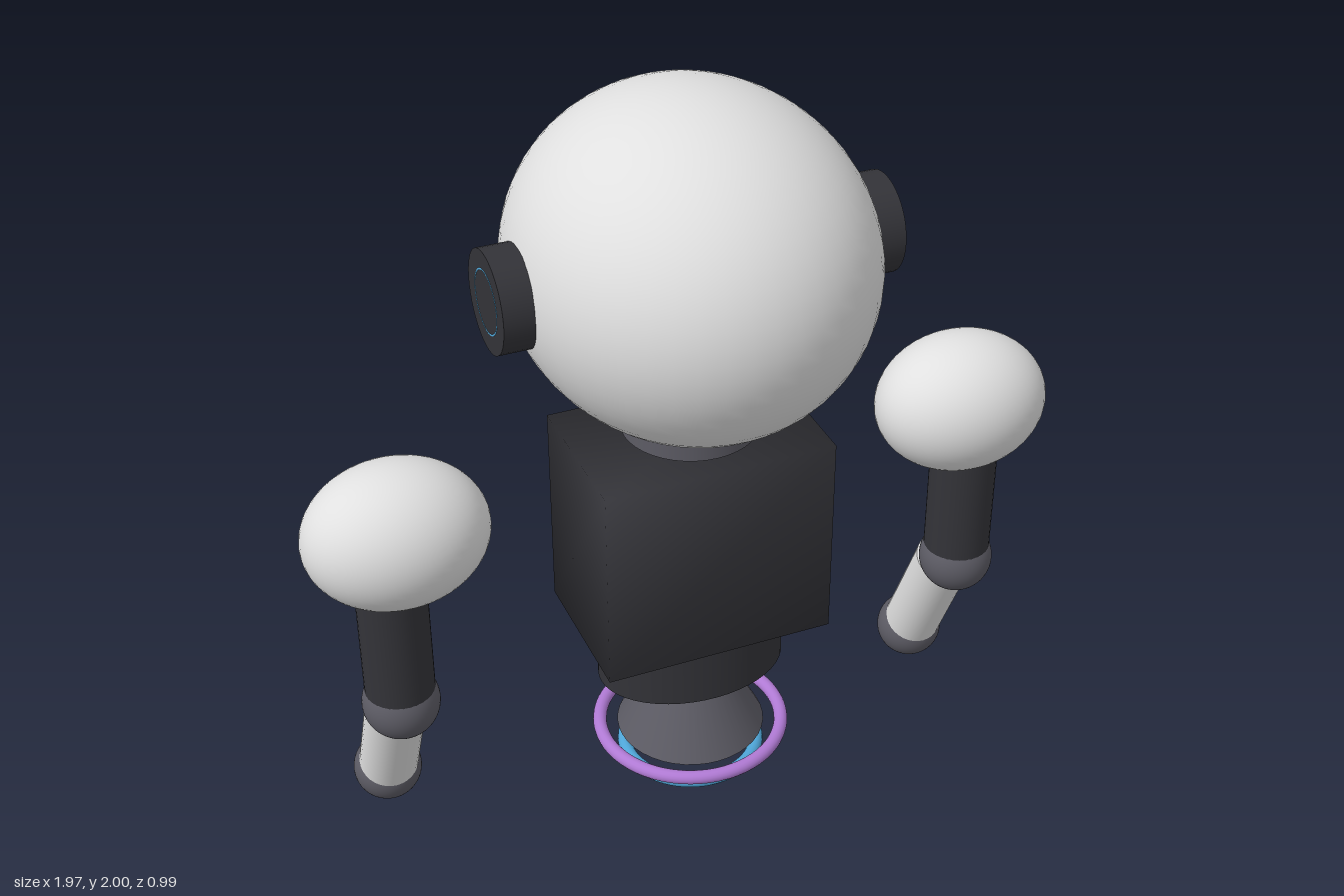
import * as THREE from 'three';
import { mergeVertices } from 'three/addons/utils/BufferGeometryUtils.js';

const paint = (name, color) => {
  const m = new THREE.MeshStandardMaterial({ color });
  m.name = name;
  return m;
};

export function createModel() {
  const white = paint('shell white', 0xe0e0e0);
  const dark = paint('charcoal', 0x333338);
  const grey = paint('joint grey', 0x5c5b64);
  const blue = paint('glow blue', 0x4fa6d8);
  const purple = paint('glow purple', 0xb07ad4);

  const robot = new THREE.Group();
  robot.name = 'hoverRobot';

  const add = (name, geometry, material, x, y, z, parent = robot) => {
    const mesh = new THREE.Mesh(geometry, material);
    mesh.name = name;
    mesh.position.set(x, y, z);
    parent.add(mesh);
    return mesh;
  };
  const ellipsoid = (rx, ry, rz) => new THREE.SphereGeometry(1, 48, 32).scale(rx, ry, rz);
  const ring = (radius, tube) => new THREE.TorusGeometry(radius, tube, 16, 64);

  // Head and neck
  add('head', ellipsoid(0.44, 0.42, 0.495), white, 0, 1.58, 0);
  add('neck', new THREE.CylinderGeometry(0.172, 0.172, 0.12, 40), grey, 0, 1.185, 0);

  // Torso: a box whose shading runs smoothly around its corners
  let box = new THREE.BoxGeometry(0.6, 0.55, 0.4);
  box.deleteAttribute('normal');
  box.deleteAttribute('uv');
  box = mergeVertices(box);
  box.computeVertexNormals();
  add('torso', box, dark, 0, 0.825, 0);

  // Oval waist and the thruster cone
  add('waist', new THREE.CylinderGeometry(1, 1, 0.17, 48).scale(0.25, 1, 0.177), dark, 0, 0.47, 0);
  add('thrusterCone', new THREE.CylinderGeometry(0.09, 0.195, 0.205, 40), grey, 0, 0.285, 0);

  // Hover rings
  add('upperHoverRing', ring(0.242, 0.018).rotateX(Math.PI / 2), purple, 0, 0.182, 0);
  add('lowerHoverRing', ring(0.177, 0.018).rotateX(Math.PI / 2), blue, 0, 0.112, 0);

  // Round light on the -z side of the torso
  add('lightRing', ring(0.14, 0.018), blue, 0, 0.873, -0.214);
  add('lightDome', ellipsoid(0.128, 0.128, 0.036), purple, 0, 0.873, -0.2);

  for (const side of [1, -1]) {
    const label = side > 0 ? 'left' : 'right';

    // Ear pad with a fine ring set into its face
    add(label + 'Ear', new THREE.CylinderGeometry(0.125, 0.125, 0.12, 40).rotateZ(Math.PI / 2),
      dark, side * 0.44, 1.575, 0);
    add(label + 'EarRing', ring(0.077, 0.003).rotateY(Math.PI / 2), blue, side * 0.498, 1.575, 0);

    // Arched eye, mostly sunk into the head
    add(label + 'Eye', new THREE.TorusGeometry(0.045, 0.014, 12, 24, Math.PI),
      purple, side * 0.13, 1.6, -0.453).material.side = THREE.DoubleSide;

    // Arm
    const arm = new THREE.Group();
    arm.name = label + 'Arm';
    robot.add(arm);
    const x = side * 0.78;
    add('shoulder', ellipsoid(0.23, 0.183, 0.185), white, side * 0.755, 1.003, 0, arm);
    add('upperArm', new THREE.CylinderGeometry(0.088, 0.088, 0.44, 32), dark, x, 0.72, 0, arm);
    add('elbow', ellipsoid(0.098, 0.098, 0.098), grey, x, 0.497, 0, arm);
    const top = new THREE.Vector3(x, 0.45, -0.055);
    const bottom = new THREE.Vector3(x, 0.12, -0.21);
    const axis = top.clone().sub(bottom);
    const forearm = add('forearm', new THREE.CylinderGeometry(0.078, 0.078, axis.length(), 32),
      white, x, (top.y + bottom.y) / 2, (top.z + bottom.z) / 2, arm);
    forearm.quaternion.setFromUnitVectors(new THREE.Vector3(0, 1, 0), axis.normalize());
    add('hand', ellipsoid(0.09, 0.09, 0.09), grey, x, 0.094, -0.225, arm);
  }

  return robot;
}
